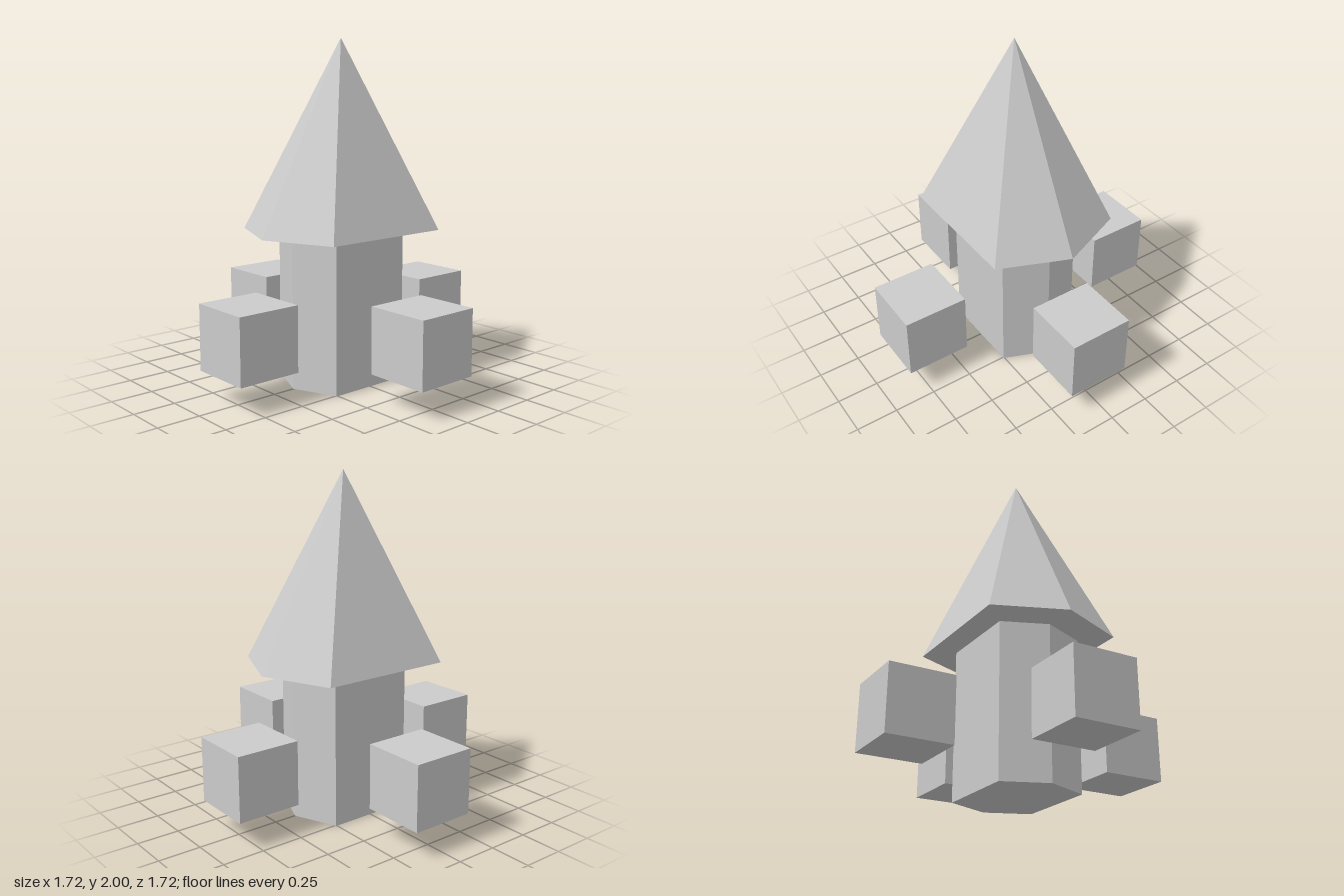
import * as THREE from 'three';

const material = new THREE.MeshStandardMaterial({ color: 0xcccccc, flatShading: true });

// Six-sided prism or pyramid: the corners of an octagon, leaving out front and back
function hexSolid(topRadius, bottomRadius, height) {
  const solid = new THREE.CylinderGeometry(topRadius, bottomRadius, height, 6, 1, false, Math.PI / 2);
  const pos = solid.attributes.position;
  for (let i = 0; i < pos.count; i++) {
    const x = pos.getX(i), z = pos.getZ(i);
    if (Math.abs(z) < 0.01) continue;
    const r = Math.hypot(x, z) * Math.SQRT1_2;
    pos.setX(i, Math.sign(x) * r);
    pos.setZ(i, Math.sign(z) * r);
  }
  const geometry = solid.toNonIndexed();
  geometry.computeVertexNormals();
  return geometry;
}

export function createModel() {
  const model = new THREE.Group();
  model.name = 'tower';

  const add = (name, geometry, x, y, z) => {
    const mesh = new THREE.Mesh(geometry, material);
    mesh.name = name;
    mesh.position.set(x, y, z);
    model.add(mesh);
  };

  // Tower body and pointed roof
  add('towerBody', hexSolid(0.363, 0.363, 0.9), 0, 0.45, 0);
  add('roof', hexSolid(0, 0.572, 1.105), 0, 1.4475, 0);

  // Four loose blocks around the tower
  const block = new THREE.BoxGeometry(0.384, 0.382, 0.384);
  const places = { leftBlock: [1, 0], rightBlock: [-1, 0], frontBlock: [0, 1], backBlock: [0, -1] };
  for (const [name, [x, z]] of Object.entries(places)) {
    add(name, block, x * 0.668 - 0.002, 0.361, z * 0.668 - 0.002);
  }

  return model;
}
